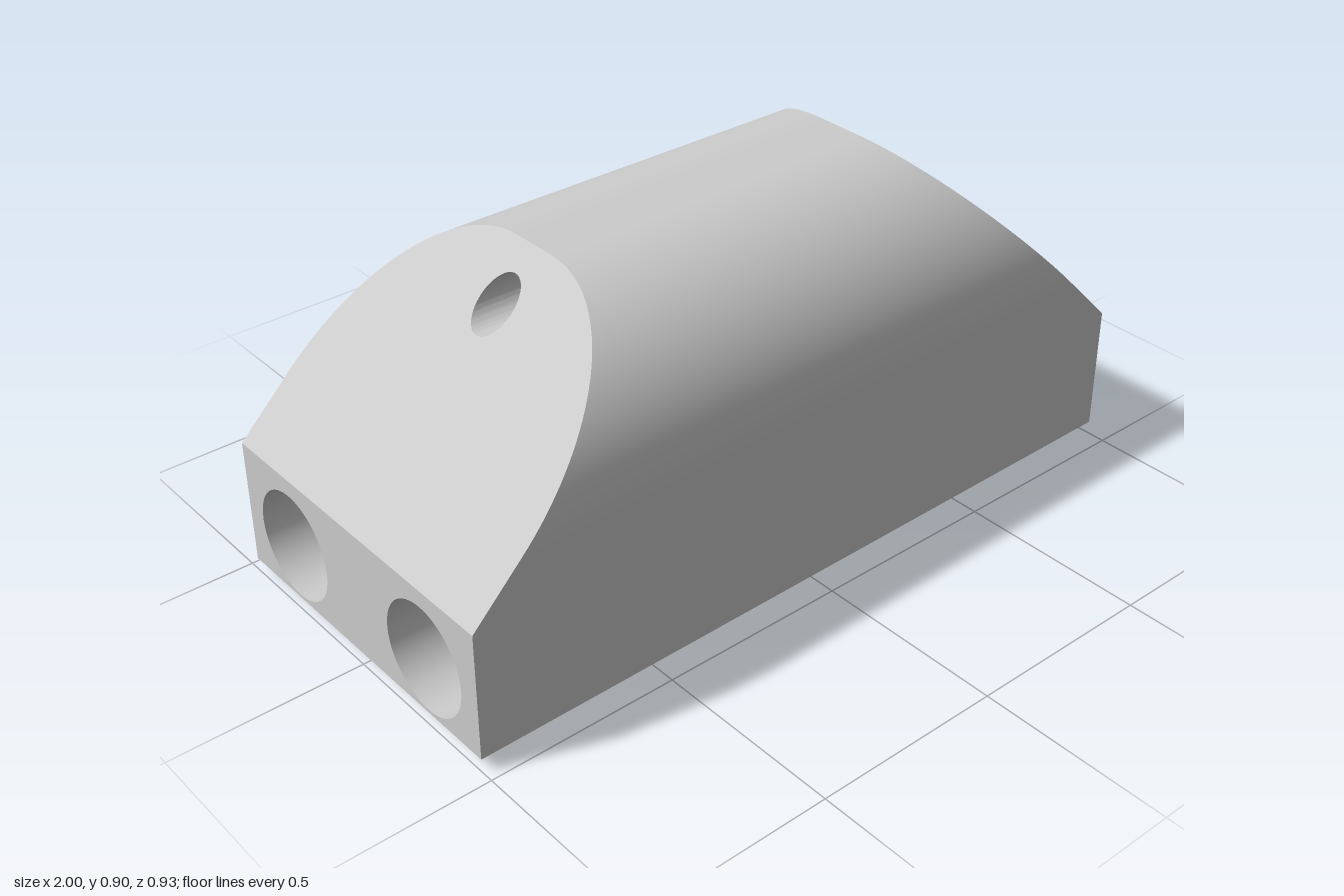
import * as THREE from 'three';
import { toCreasedNormals } from 'three/addons/utils/BufferGeometryUtils.js';

const BASE = 0.035;      // height of the bottom chamfer
const SHOULDER = 0.37;   // where the 45 degree end slopes start
const TOP = 0.9;
const ROUND = 0.395;     // radius of the rounded upper edges

// half length of the body at a given height
const halfLength = (y) =>
  y < BASE ? 1 - BASE + y : y < SHOULDER ? 1 : 1 - (y - SHOULDER);
// half width, tapering slightly towards +x
const halfWidth = (x) => 0.458 - 0.008 * x;

// half cross-section: [offset from the side wall, height]
const profile = [[-BASE, 0], [0, BASE], [0, SHOULDER]];
for (let i = 0; i <= 36; i++) {
  const a = (i / 36) * Math.PI / 2;
  profile.push([ROUND * (Math.cos(a) - 1), TOP - ROUND + ROUND * Math.sin(a)]);
}

// outline points of one end (e = 1 or -1), for a range of the profile
function outline(e, from = 0, to = profile.length) {
  const side = profile.slice(from, to).map(([o, y]) => {
    const x = e * halfLength(y);
    return new THREE.Vector3(x, y, halfWidth(x) + o);
  });
  const mirrored = side.map((p) => new THREE.Vector3(p.x, p.y, -p.z)).reverse();
  return [...side, ...mirrored];
}

// rim of a bore where it meets an end face
function rim(e, cy, cz, r) {
  return Array.from({ length: 64 }, (_, i) => {
    const a = -(i / 64) * Math.PI * 2;
    const y = cy + r * Math.sin(a);
    return new THREE.Vector3(e * halfLength(y), y, cz + r * Math.cos(a));
  });
}
const lowerBore = (e, s) => rim(e, 0.184, s * (0.258 - 0.008 * e), 0.141);
const upperBore = (e) => rim(e, 0.786 - 0.004 * e, 0, 0.057);

// closed skin between two matching loops
function loft(left, right) {
  const pos = [];
  left.forEach((a, i) => {
    const j = (i + 1) % left.length;
    const b = right[i], c = right[j], d = left[j];
    for (const p of [a, b, c, a, c, d]) pos.push(p.x, p.y, p.z);
  });
  const g = new THREE.BufferGeometry();
  g.setAttribute('position', new THREE.Float32BufferAttribute(pos, 3));
  return toCreasedNormals(g, 0.4);
}

// flat end face, with holes, laid onto the end slope
function endFace(e, loop, holes = []) {
  const flat = (pts) => pts.map((p) => new THREE.Vector2(-e * p.z, p.y));
  const shape = new THREE.Shape(flat(loop));
  holes.forEach((h) => shape.holes.push(new THREE.Path(flat(h))));
  const g = new THREE.ShapeGeometry(shape);
  const p = g.attributes.position;
  for (let i = 0; i < p.count; i++) {
    const y = p.getY(i);
    p.setXYZ(i, e * halfLength(y), y, -e * p.getX(i));
  }
  g.computeVertexNormals();
  return g;
}

export function createModel() {
  const group = new THREE.Group();
  const grey = new THREE.MeshStandardMaterial({ color: 0xcccccc });
  grey.name = 'light grey';
  const add = (name, geometry) => {
    const mesh = new THREE.Mesh(geometry, grey);
    mesh.name = name;
    group.add(mesh);
  };

  // sides, rounded top and underside
  add('bodyShell', loft(outline(-1), outline(1)));

  // end faces
  for (const e of [1, -1]) {
    const side = e > 0 ? 'left' : 'right';
    add(side + 'EndChamfer', endFace(e, outline(e, 0, 2)));
    add(side + 'EndWall', endFace(e, outline(e, 1, 3), [lowerBore(e, 1), lowerBore(e, -1)]));
    add(side + 'EndSlope', endFace(e, outline(e, 2), [upperBore(e)]));
  }

  // walls of the through bores
  add('frontBore', loft(lowerBore(-1, 1), lowerBore(1, 1)));
  add('backBore', loft(lowerBore(-1, -1), lowerBore(1, -1)));
  add('upperBore', loft(upperBore(-1), upperBore(1)));

  return group;
}
